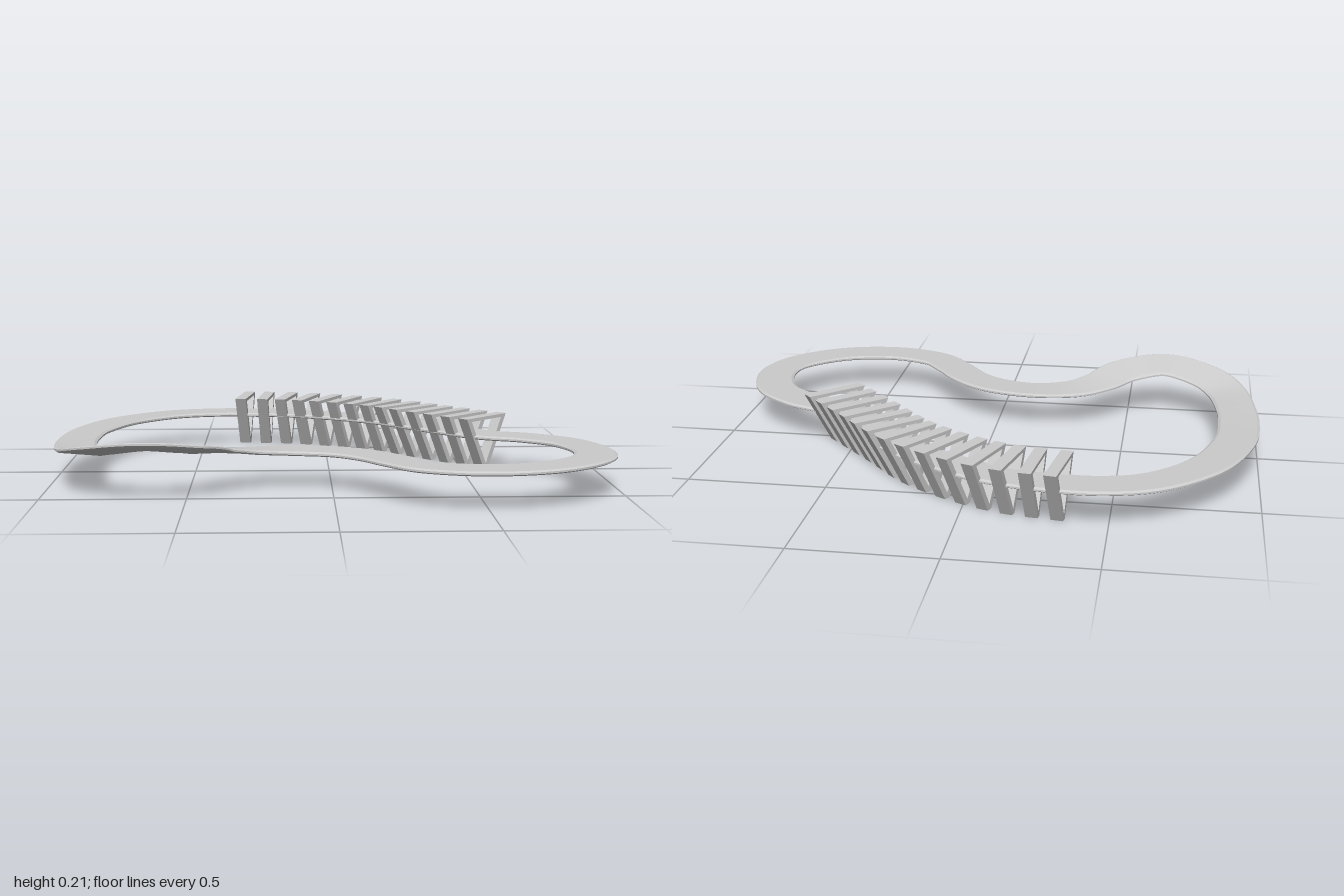
import * as THREE from 'three';

// Centre line of the circuit: x, z, height, rise of the outer edge (banking)
const BASE = 0.127;
const PATH = [
  [-0.35, -0.647], [-0.168, -0.62], [-0.008, -0.56], [0.216, -0.417], [0.403, -0.219], [0.58, -0.035],
  [0.735, 0.04], [0.864, 0.155], [0.92, 0.34], [0.875, 0.5], [0.714, 0.636], [0.505, 0.68],
  [0.32, 0.63], [0.222, 0.525], [0.136, 0.41], [0.024, 0.323], [-0.136, 0.284], [-0.286, 0.31, 0.131, 0.005],
  [-0.388, 0.375, 0.143, 0.01], [-0.485, 0.467, 0.165, 0.018], [-0.645, 0.516, 0.182, 0.02],
  [-0.805, 0.455, 0.16, 0.018], [-0.885, 0.345, 0.137, 0.01], [-0.92, 0.16, 0.13, 0.002],
  [-0.927, 0.0], [-0.91, -0.17], [-0.84, -0.37], [-0.745, -0.5], [-0.62, -0.6], [-0.48, -0.643],
];
const FRAME_SPAN = 6; // path points covered by the support frames
const FRAMES = 14;

const toPoint = ([x, z, y = BASE]) => new THREE.Vector3(x, y, z);
const loop = (pts) => new THREE.CatmullRomCurve3(pts, true, 'catmullrom', 0.5);
const outward = (t) => new THREE.Vector3(t.z, 0, -t.x).normalize();

// Slab with a bevelled section swept along the path; creased across, smooth along
function trackGeometry() {
  const half = 0.075, steps = 300;
  const section = [
    [-0.066, -0.008], [0.066, -0.008], [half, -0.003], [half, 0.003],
    [0.066, 0.008], [-0.066, 0.008], [-half, 0.003], [-half, -0.003],
  ];
  const line = loop(PATH.map(toPoint));
  const banking = loop(PATH.map((p) => new THREE.Vector3(p[3] ?? 0, 0, 0)));
  const position = [], index = [], m = section.length;
  for (let i = 0; i < steps; i++) {
    const u = i / steps;
    const p = line.getPoint(u), n = outward(line.getTangent(u)), bank = banking.getPoint(u).x;
    for (let j = 0; j < m; j++) {
      for (const [o, v] of [section[j], section[(j + 1) % m]]) {
        position.push(p.x + n.x * o, p.y + v + bank * o / half, p.z + n.z * o);
      }
      const a = (i * m + j) * 2, b = (((i + 1) % steps) * m + j) * 2;
      index.push(a, a + 1, b, a + 1, b + 1, b);
    }
  }
  const g = new THREE.BufferGeometry();
  g.setAttribute('position', new THREE.Float32BufferAttribute(position, 3));
  g.setIndex(index);
  g.computeVertexNormals();
  return g;
}

// Upside-down triangular frame with an open middle
function frameGeometry() {
  const v = (x, y) => new THREE.Vector2(x, y);
  const shape = new THREE.Shape([v(-0.012, 0), v(0.012, 0), v(0.118, 0.2), v(-0.118, 0.2)]);
  shape.holes.push(new THREE.Path([v(-0.089, 0.188), v(0.089, 0.188), v(0, 0.02)]));
  const depth = 0.043;
  return new THREE.ExtrudeGeometry(shape, { depth, bevelEnabled: false }).translate(0, 0, -depth / 2);
}

export function createModel() {
  const group = new THREE.Group();
  group.name = 'circuit';
  const material = new THREE.MeshStandardMaterial({ color: 0xcccccc });

  const track = new THREE.Mesh(trackGeometry(), material);
  track.name = 'track';
  group.add(track);

  // Row of frames carrying the back stretch
  const supports = new THREE.Group();
  supports.name = 'supportFrames';
  const stretch = new THREE.CatmullRomCurve3(PATH.slice(0, FRAME_SPAN).map(toPoint));
  const geometry = frameGeometry();
  for (let i = 0; i < FRAMES; i++) {
    const u = i / (FRAMES - 1);
    const p = stretch.getPointAt(u), t = stretch.getTangentAt(u);
    const frame = new THREE.Mesh(geometry, material);
    frame.name = `supportFrame${i + 1}`;
    frame.position.set(p.x + 0.02 * (1 - u), 0, p.z);
    frame.quaternion.setFromRotationMatrix(
      new THREE.Matrix4().makeBasis(outward(t), new THREE.Vector3(0, 1, 0), t));
    supports.add(frame);
  }
  group.add(supports);
  return group;
}
